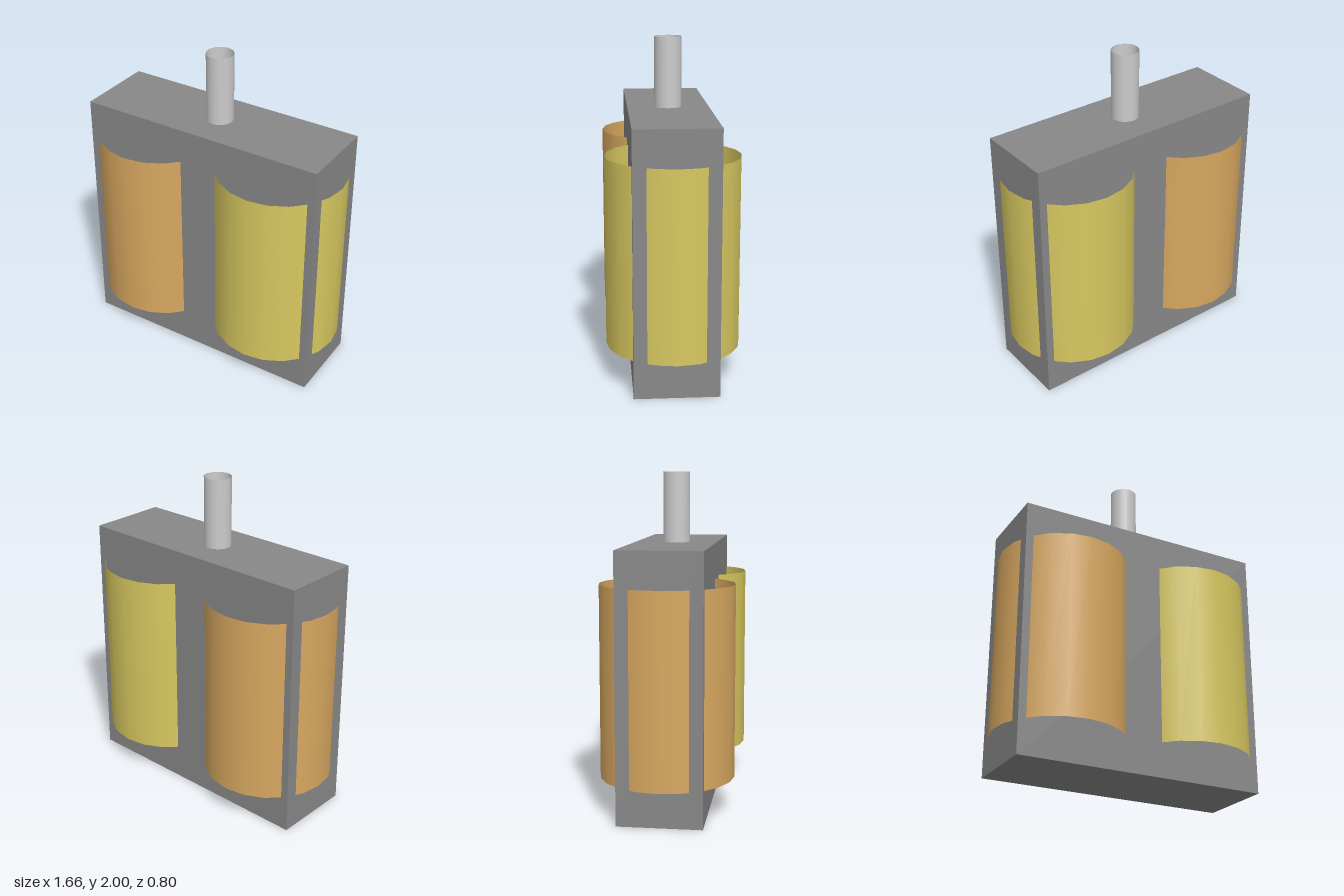
import * as THREE from 'three';

function addMesh(parent, name, geometry, color, x, y, open = false) {
  const material = new THREE.MeshStandardMaterial({ color });
  if (open) material.side = THREE.DoubleSide;
  const mesh = new THREE.Mesh(geometry, material);
  mesh.name = name;
  mesh.position.set(x, y, 0);
  parent.add(mesh);
}

// Open-ended, smooth-shaded tube with 20 sides
const tube = (radius, height) => new THREE.CylinderGeometry(radius, radius, height, 20, 1, true);

export function createModel() {
  const group = new THREE.Group();
  const bodyHeight = 1.573;

  // Rectangular body
  addMesh(group, 'body', new THREE.BoxGeometry(1.573, bodyHeight, 0.5), 0x888888, 0, bodyHeight / 2);

  // Two drums bulging through the body's front, back and outer sides
  addMesh(group, 'leftDrum', tube(0.4, 1.144), 0xd8c860, 0.43, bodyHeight / 2, true);
  addMesh(group, 'rightDrum', tube(0.4, 1.144), 0xd8a860, -0.43, bodyHeight / 2, true);

  // Hollow stem on top
  const stemHeight = 2 - bodyHeight;
  addMesh(group, 'stem', tube(0.083, stemHeight), 0xcccccc, 0, bodyHeight + stemHeight / 2, true);

  return group;
}
